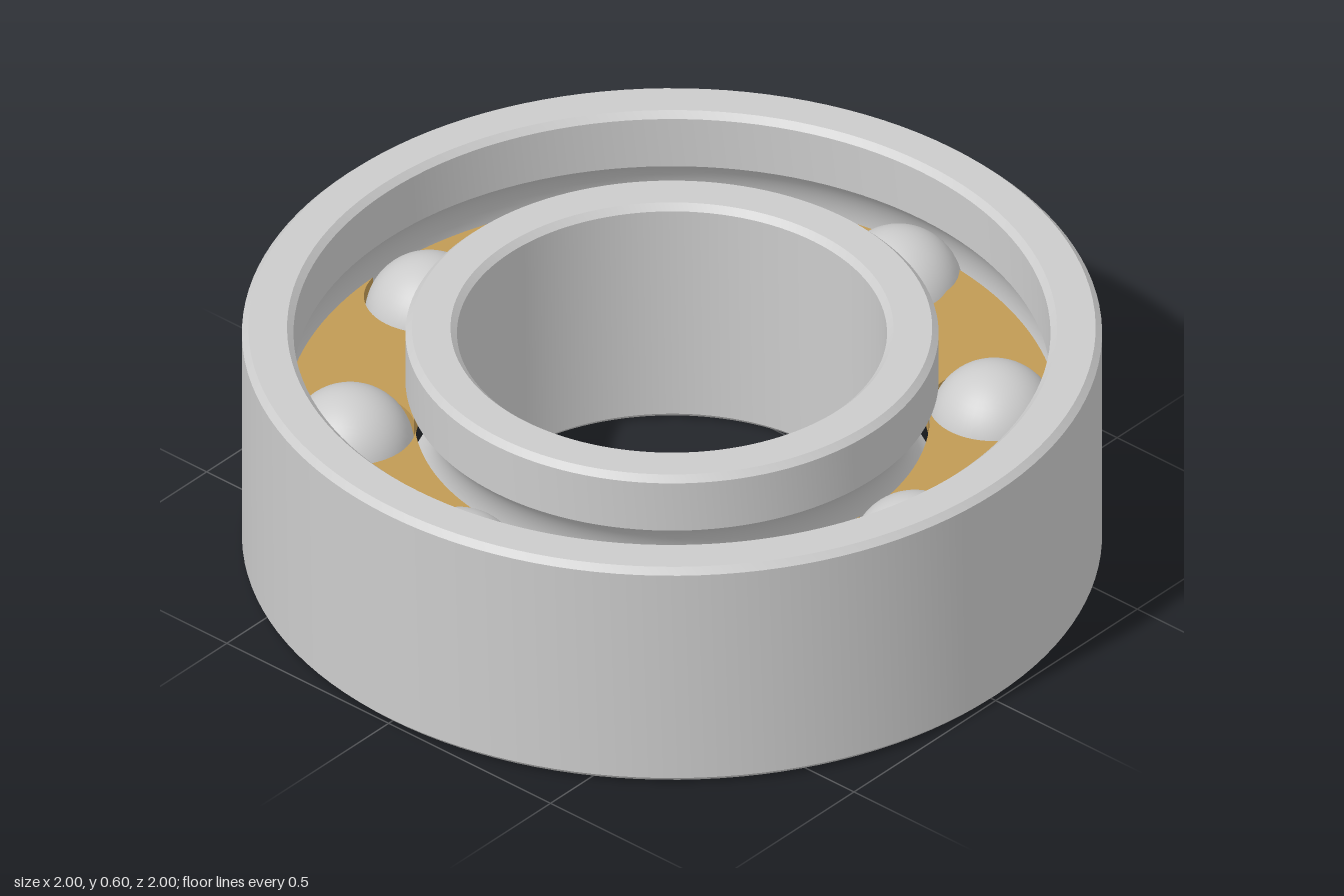
import * as THREE from 'three';
import { toCreasedNormals } from 'three/addons/utils/BufferGeometryUtils.js';

const HEIGHT = 0.6, MID = HEIGHT / 2, CHAMFER = 0.015;
const PITCH = 0.75, BALL = 0.15, GROOVE = 0.2, COUNT = 8;

// Chamfered ring with a raceway groove on the side facing the balls
function ringGeometry(inner, outer, grooveOutside) {
  const c = CHAMFER, h = HEIGHT;
  const half = Math.acos((grooveOutside ? PITCH - outer : inner - PITCH) / GROOVE);
  const groove = [];
  for (let i = 0; i <= 20; i++) {
    const a = (grooveOutside ? Math.PI : 0) + half * (1 - i / 10);
    groove.push([PITCH + GROOVE * Math.cos(a), MID + GROOVE * Math.sin(a)]);
  }
  const profile = [
    [inner + c, 0], [outer - c, 0], [outer, c],
    ...(grooveOutside ? groove : []),
    [outer, h - c], [outer - c, h], [inner + c, h], [inner, h - c],
    ...(grooveOutside ? [] : groove),
    [inner, c], [inner + c, 0],
  ].map(([r, y]) => new THREE.Vector2(r, y));
  return toCreasedNormals(new THREE.LatheGeometry(profile, 128), 0.35);
}

// One cage web between two neighbouring ball pockets
function cageWebGeometry(inner, outer, pocket, thickness) {
  const step = (Math.PI * 2) / COUNT;
  // Where the pocket circle crosses a cage edge: angle about the axis and about the ball
  const crossing = (r) => {
    const axis = Math.acos((r * r + PITCH * PITCH - pocket * pocket) / (2 * r * PITCH));
    return { axis, ball: Math.atan2(r * Math.sin(axis), r * Math.cos(axis) - PITCH) };
  };
  const i = crossing(inner), o = crossing(outer);
  const shape = new THREE.Shape();
  shape.absarc(0, 0, outer, o.axis, step - o.axis, false);
  shape.absarc(PITCH * Math.cos(step), PITCH * Math.sin(step), pocket, step - o.ball, step - i.ball, true);
  shape.absarc(0, 0, inner, step - i.axis, i.axis, true);
  shape.absarc(PITCH, 0, pocket, i.ball, o.ball, true);
  const geo = new THREE.ExtrudeGeometry(shape, { depth: thickness, bevelEnabled: false, curveSegments: 20 });
  geo.rotateX(-Math.PI / 2).translate(0, MID - thickness / 2, 0);
  return toCreasedNormals(geo, 0.5);
}

export function createModel() {
  const model = new THREE.Group();
  model.name = 'ballBearing';
  const steel = new THREE.MeshStandardMaterial({ color: 0xcccccc });
  const brass = new THREE.MeshStandardMaterial({ color: 0xc19a54 });
  const add = (name, geometry, material, parent = model) => {
    const mesh = new THREE.Mesh(geometry, material);
    mesh.name = name;
    parent.add(mesh);
    return mesh;
  };

  // Races
  add('outerRing', ringGeometry(0.88, 1, false), steel);
  add('innerRing', ringGeometry(0.5, 0.62, true), steel);

  // Balls and cage
  const balls = new THREE.Group();
  balls.name = 'balls';
  const cage = new THREE.Group();
  cage.name = 'cage';
  model.add(balls, cage);
  const ballGeo = new THREE.SphereGeometry(BALL, 40, 28);
  const webGeo = cageWebGeometry(0.6, 0.9, 0.152, 0.1);
  for (let k = 0; k < COUNT; k++) {
    const a = (k / COUNT) * Math.PI * 2;
    const r = k === 0 ? PITCH + 0.05 : PITCH; // one ball rests against the outer race
    add('ball', ballGeo, steel, balls).position.set(r * Math.cos(a), MID, r * Math.sin(a));
    add('cageWeb', webGeo, brass, cage).rotation.y = a;
  }
  return model;
}
